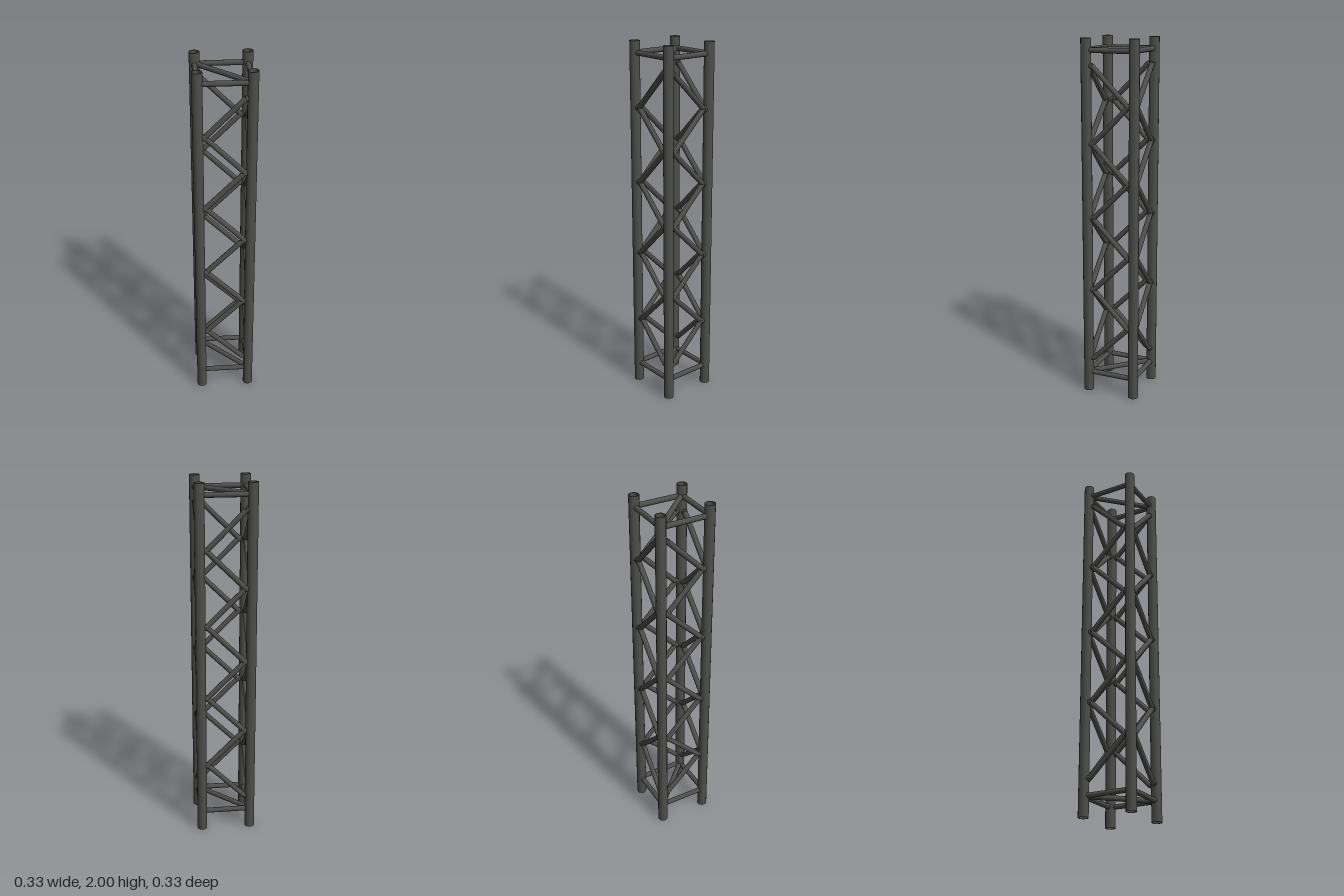
import * as THREE from 'three';
import { toCreasedNormals } from 'three/addons/utils/BufferGeometryUtils.js';

const LEG = 0.138, LEG_R = 0.028, BORE_R = 0.024, ROD_R = 0.0145;
const REACH = 0.115;   // where rods meet the leg walls
const BEND = 0.102;    // where a zigzag rod meets its collar
const FIRST = 0.2, STEP = 0.207, BAYS = 8;

export function createModel() {
  const model = new THREE.Group();
  model.name = 'boxTruss';
  const material = new THREE.MeshStandardMaterial({ color: 0x4d4d4b });

  // round bar between two points
  function rod(parent, name, a, b, radius = ROD_R) {
    const dir = new THREE.Vector3().subVectors(b, a);
    const mesh = new THREE.Mesh(new THREE.CylinderGeometry(radius, radius, dir.length(), 12), material);
    mesh.name = name;
    mesh.position.addVectors(a, b).multiplyScalar(0.5);
    mesh.quaternion.setFromUnitVectors(new THREE.Vector3(0, 1, 0), dir.normalize());
    parent.add(mesh);
  }

  // four hollow legs, open at both ends
  const profile = [[BORE_R, 0], [LEG_R, 0], [LEG_R, 2], [BORE_R, 2], [BORE_R, 0]]
    .map(([r, y]) => new THREE.Vector2(r, y));
  const legGeometry = toCreasedNormals(new THREE.LatheGeometry(profile, 14), Math.PI / 4);
  for (const x of [-LEG, LEG]) {
    for (const z of [-LEG, LEG]) {
      const leg = new THREE.Mesh(legGeometry, material);
      leg.name = 'leg';
      leg.position.set(x, 0, z);
      model.add(leg);
    }
  }

  // four identical sides, each zigzag mirrored on its neighbours
  for (let side = 0; side < 4; side++) {
    const panel = new THREE.Group();
    panel.name = ['frontPanel', 'leftPanel', 'backPanel', 'rightPanel'][side];
    panel.rotation.y = side * Math.PI / 2;
    const flip = side % 2 ? -1 : 1;
    const at = (x, y) => new THREE.Vector3(x, y, LEG);

    for (const y of [0.112, 1.937]) rod(panel, 'crossbar', at(-REACH, y), at(REACH, y));

    for (let i = 0; i <= BAYS; i++) {
      const s = (i % 2 ? -1 : 1) * flip, y = FIRST + i * STEP;
      const end = i === 0 || i === BAYS;
      rod(panel, 'collar', at(s * BEND, y), at(s * REACH, y), end ? 0.016 : 0.0185);
      if (i < BAYS) rod(panel, 'zigzagRod', at(s * (BEND + 0.002), y), at(-s * (BEND + 0.002), y + STEP));
    }
    model.add(panel);
  }

  // diagonal braces across the inside at both ends
  for (const y of [0.112, 1.937]) {
    rod(model, 'diagonalBrace', new THREE.Vector3(-0.119, y, -0.119), new THREE.Vector3(0.119, y, 0.119));
  }
  return model;
}
